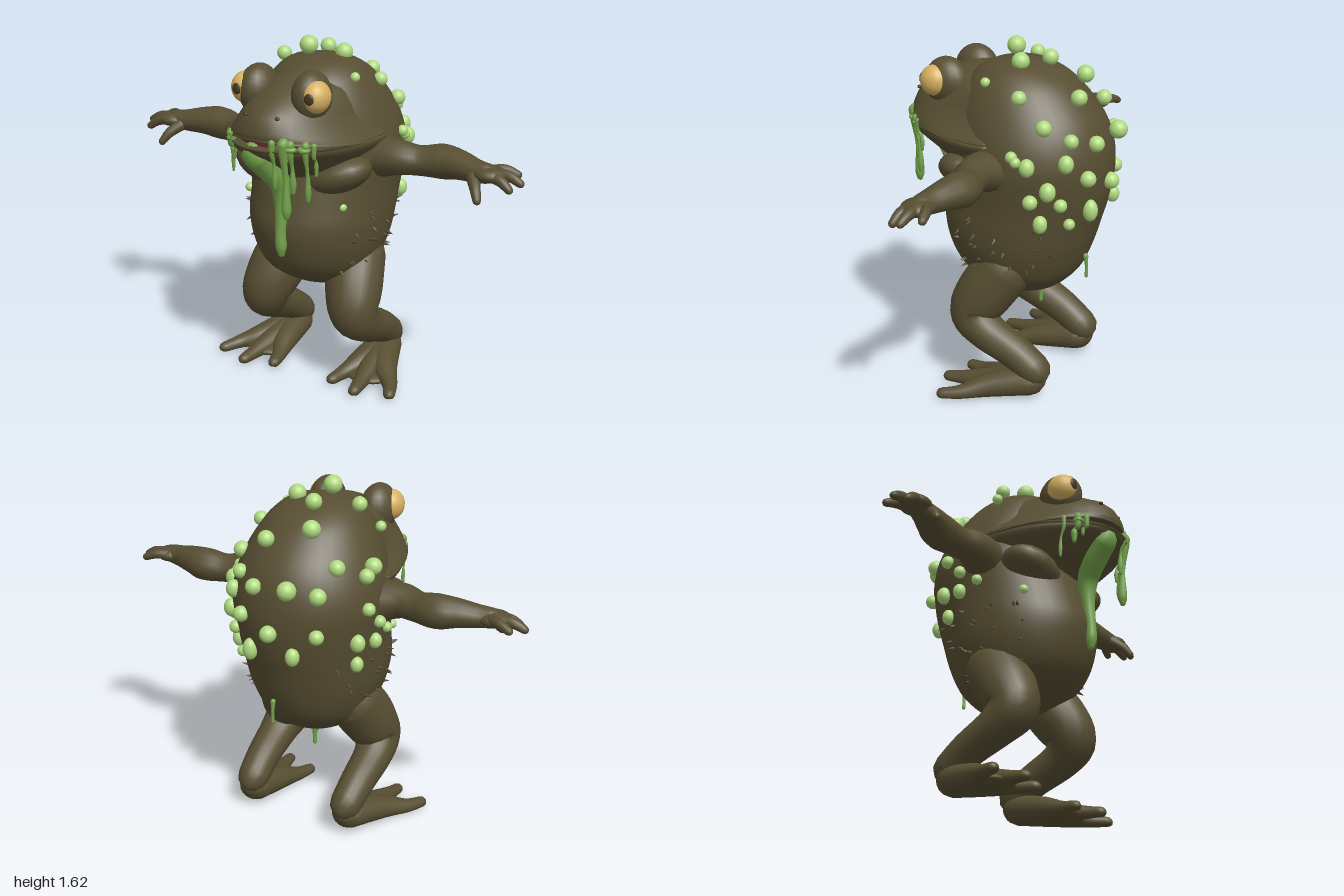
import * as THREE from 'three';

const paint = (name, color) => {
  const m = new THREE.MeshStandardMaterial({ color });
  m.name = name;
  return m;
};

// Smoothly subdivides rows of numbers (Catmull-Rom on every column)
function smoothRows(rows, steps) {
  const out = [];
  for (let i = 0; i < rows.length - 1; i++) {
    const p = [rows[Math.max(i - 1, 0)], rows[i], rows[i + 1], rows[Math.min(i + 2, rows.length - 1)]];
    for (let k = 0; k < steps; k++) {
      const t = k / steps;
      out.push(rows[i].map((_, j) => {
        const [a, b, c, d] = p.map((r) => r[j]);
        return b + 0.5 * t * (c - a + t * (2 * a - 5 * b + 4 * c - d + t * (3 * (b - c) + d - a)));
      }));
    }
  }
  out.push(rows[rows.length - 1]);
  return out;
}

// Skins a list of closed rings; nothing reaches below the ground
function skinRings(rings) {
  const n = rings[0].length, pos = [], idx = [];
  rings.forEach((ring) => ring.forEach((p) => pos.push(p.x, Math.max(p.y, 0), p.z)));
  for (let i = 0; i < rings.length - 1; i++) {
    for (let j = 0; j < n; j++) {
      const a = i * n + j, b = i * n + (j + 1) % n;
      idx.push(a, a + n, b, b, a + n, b + n);
    }
  }
  const g = new THREE.BufferGeometry();
  g.setAttribute('position', new THREE.Float32BufferAttribute(pos, 3));
  g.setIndex(idx);
  g.computeVertexNormals();
  return g;
}

// Horizontal rings from rows [y, half width, front z, back z, centre z]
function loft(rows, droop = 0, n = 40) {
  return skinRings(rows.map(([y, w, zf, zb, c]) => Array.from({ length: n }, (_, j) => {
    const a = j / n * Math.PI * 2, s = Math.sin(a), x = Math.cos(a);
    return new THREE.Vector3(w * x, y - droop * x * x, c + s * (s > 0 ? zf - c : c - zb));
  })));
}

// Round-ended limb through points [x, y, z, radius]
function limb(points, flat = 1, n = 14) {
  const rows = smoothRows(points, 5);
  const at = (r) => new THREE.Vector3(r[0], r[1], r[2]);
  const d = at(points[points.length - 1]).sub(at(points[0]));
  const upright = Math.abs(d.y) > Math.max(Math.abs(d.x), Math.abs(d.z));
  const ref = upright ? new THREE.Vector3(1, 0, 0) : new THREE.Vector3(0, 1, 0);
  const rings = [], last = rows.length - 1;
  const addRing = (i, cap) => {
    const T = at(rows[Math.min(i + 1, last)]).sub(at(rows[Math.max(i - 1, 0)])).normalize();
    const u = ref.clone().cross(T).normalize(), v = u.clone().cross(T);
    const r = Math.max(rows[i][3], 0.002), R = r * Math.cos(cap);
    const c = at(rows[i]).addScaledVector(T, r * Math.sin(cap));
    rings.push(Array.from({ length: n }, (_, j) => {
      const a = j / n * Math.PI * 2;
      return c.clone().addScaledVector(u, R * Math.cos(a)).addScaledVector(v, R * flat * Math.sin(a));
    }));
  };
  for (const cap of [-1.56, -1.1, -0.55]) addRing(0, cap);
  rows.forEach((_, i) => addRing(i, 0));
  for (const cap of [0.55, 1.1, 1.56]) addRing(last, cap);
  return skinRings(rings);
}

export function createModel() {
  const model = new THREE.Group();
  model.name = 'toadCreature';
  const skin = paint('swampSkin', 0x574e32), wartGreen = paint('wartGreen', 0xb0da80);
  const slime = paint('slimeGreen', 0x74a34b), amber = paint('eyeAmber', 0xd8b162);
  const dark = paint('pupilBrown', 0x46391f), red = paint('mouthRed', 0x6e2a33);

  const add = (name, geo, mat, parent = model) => {
    const m = new THREE.Mesh(geo, mat);
    m.name = name;
    parent.add(m);
    return m;
  };
  const ball = (name, mat, p, r, parent) => {
    const m = add(name, new THREE.SphereGeometry(1, 20, 14), mat, parent);
    m.position.set(...p);
    m.scale.set(...r);
    return m;
  };
  const group = (name) => {
    const g = new THREE.Group();
    g.name = name;
    model.add(g);
    return g;
  };

  // Pear-shaped body with a hunched back
  const bodyRows = smoothRows([
    [0.435, 0.001, -0.05, -0.06], [0.46, 0.14, 0.09, -0.19], [0.53, 0.235, 0.22, -0.28],
    [0.6, 0.28, 0.29, -0.33], [0.7, 0.315, 0.33, -0.37], [0.8, 0.33, 0.345, -0.4],
    [0.9, 0.335, 0.325, -0.43], [1.0, 0.345, 0.3, -0.45], [1.1, 0.355, 0.28, -0.455],
    [1.2, 0.342, 0.28, -0.44], [1.3, 0.308, 0.28, -0.4], [1.4, 0.258, 0.25, -0.32],
    [1.47, 0.205, 0.2, -0.24], [1.52, 0.13, 0.11, -0.13], [1.54, 0.001, 0.0, -0.01],
  ].map((r) => [...r, (r[2] + r[3]) / 2]), 4);
  add('body', loft(bodyRows), skin);

  // Head, mouth lining and lower jaw
  const headRows = (rows) => smoothRows(rows.map((r) => [...r, -0.1, 0]), 4);
  add('upperHead', loft(headRows([
    [1.262, 0.1, 0.2], [1.25, 0.325, 0.49], [1.262, 0.34, 0.52], [1.3, 0.308, 0.517],
    [1.36, 0.265, 0.485], [1.42, 0.238, 0.4], [1.48, 0.19, 0.27], [1.52, 0.001, 0.1],
  ]), 0.05), skin);
  add('mouthLining', loft(headRows([[1.2, 0.31, 0.483], [1.275, 0.31, 0.487]]), 0.04), red);
  add('lowerJaw', loft(headRows([
    [0.99, 0.001, 0.2], [1.03, 0.16, 0.29], [1.08, 0.25, 0.36], [1.14, 0.305, 0.44],
    [1.18, 0.333, 0.5], [1.206, 0.336, 0.52], [1.222, 0.32, 0.5], [1.216, 0.1, 0.2],
  ])), skin);

  for (const s of [1, -1]) {
    const side = s > 0 ? 'left' : 'right';
    // Bulging eyes and nostrils
    ball(side + 'EyeBulge', skin, [s * 0.135, 1.415, 0.29], [0.082, 0.115, 0.108]);
    ball(side + 'Eye', amber, [s * 0.18, 1.427, 0.325], [0.062, 0.071, 0.071]);
    ball(side + 'Pupil', dark, [s * 0.184, 1.43, 0.391], [0.023, 0.025, 0.009]).rotation.y = s * 0.1;
    ball(side + 'Nostril', dark, [s * 0.08, 1.352, 0.474], [0.011, 0.008, 0.01]);
    ball(side + 'ChestFold', skin, [s * 0.18, 1.035, 0.15], [0.17, 0.085, 0.135]).rotation.z = s * 0.35;

    // Arm, palm and fingers
    const arm = group(side + 'Arm');
    const part = (name, pts, flat) =>
      add(name, limb(pts.map(([x, ...r]) => [s * x, ...r]), flat), skin, arm);
    part('armLimb', [[0.25, 1.09, -0.03, 0.12], [0.4, 1.11, -0.01, 0.09], [0.5, 1.105, -0.03, 0.075],
      [0.6, 1.112, -0.05, 0.086], [0.68, 1.115, -0.035, 0.074], [0.77, 1.11, -0.01, 0.058], [0.83, 1.11, 0, 0.05]], 0.9);
    ball('palm', skin, [s * 0.845, 1.11, 0], [0.075, 0.036, 0.072], arm);
    part('backFinger', [[0.84, 1.115, -0.04, 0.024], [0.89, 1.118, -0.065, 0.023], [0.94, 1.1, -0.08, 0.018]]);
    part('middleFinger', [[0.85, 1.115, -0.01, 0.026], [0.93, 1.11, -0.01, 0.024], [0.982, 1.088, -0.005, 0.018]]);
    part('frontFinger', [[0.85, 1.11, 0.03, 0.024], [0.91, 1.1, 0.04, 0.024], [0.955, 1.07, 0.05, 0.018]]);
    part('thumb', [[0.78, 1.095, 0.03, 0.03], [0.815, 1.06, 0.08, 0.024], [0.838, 1.02, 0.11, 0.018]]);

    // Crouched leg with a three-toed webbed foot
    const leg = group(side + 'Leg');
    const legPart = (name, pts, flat) =>
      add(name, limb(pts.map(([x, ...r]) => [s * x, ...r]), flat, 18), skin, leg);
    legPart('legLimb', [[0.18, 0.6, -0.04, 0.135], [0.215, 0.47, 0.05, 0.135], [0.245, 0.36, 0.1, 0.115],
      [0.262, 0.285, 0.03, 0.092], [0.26, 0.21, -0.12, 0.08], [0.255, 0.14, -0.222, 0.075]]);
    [['innerToe', 0.165, 0.16], ['middleToe', 0.31, 0.205], ['outerToe', 0.465, 0.15]].forEach(([name, x, z]) =>
      legPart(name, [[0.257, 0.08, -0.195, 0.08], [0.26 + (x - 0.26) * 0.4, 0.05, -0.03, 0.062],
        [0.26 + (x - 0.26) * 0.8, 0.026, z - 0.08, 0.037], [x, 0.018, z, 0.028]], 0.9));
    ball('footWeb', skin, [s * 0.285, 0.022, 0.01], [0.12, 0.03, 0.11], leg);
  }

  // Body cross-section at a height
  const rowAt = (y) => bodyRows.reduce((a, b) => (Math.abs(b[0] - y) < Math.abs(a[0] - y) ? b : a));
  const fromSide = (s, z, y) => {
    const [, w, zf, zb, c] = rowAt(y), k = (z - c) / ((zf - zb) / 2);
    return [s * (w * Math.sqrt(Math.max(0, 1 - k * k)) + 0.01), y, z];
  };
  const fromBack = (x, y) => {
    const [, w, zf, zb, c] = rowAt(y);
    return [x, y, c - (zf - zb) / 2 * Math.sqrt(Math.max(0, 1 - (x / w) ** 2)) - 0.012];
  };

  // Round warts over the crown, flanks and back
  const warts = group('warts');
  const wart = (p, r = 0.033, tall = 1) => ball('wart', wartGreen, p, [r, r * tall, r], warts);
  [[-0.04, 1.575, 0.03, 0.042], [-0.04, 1.54, -0.14, 0.037], [0.09, 1.54, -0.06, 0.04], [-0.19, 1.515, 0, 0.034],
    [-0.11, 1.465, -0.28, 0.04], [0.08, 1.41, -0.34, 0.037], [-0.28, 1.42, 0.03, 0.024], [0.21, 1.46, 0.05, 0.022],
    [-0.09, 1.24, -0.455, 0.042], [0.235, 0.905, 0.195, 0.021], [-0.275, 0.905, 0.175, 0.021],
    [-0.345, 1.305, -0.16, 0.038], [-0.335, 1.27, -0.2, 0.034], [-0.25, 1.325, -0.31, 0.036],
  ].forEach(([x, y, z, r]) => wart([x, y, z], r));
  [[-0.13, 1.42], [-0.26, 1.31, 0.036], [-0.22, 1.15, 0.034, 1.2], [-0.15, 1.19, 0.026], [-0.36, 1.16, 0.034, 1.2],
    [-0.3, 1.04, 0.036, 1.2], [-0.23, 0.99], [-0.34, 0.97, 0.03], [-0.26, 0.88, 0.032, 1.3], [-0.17, 1.17, 0.024],
  ].forEach(([z, y, r, tall]) => wart(fromSide(1, z, y), r, tall));
  [[-0.12, 1.04, 0.028], [-0.2, 1.12, 0.03], [-0.24, 0.97, 0.034, 1.2], [-0.13, 0.95, 0.03, 1.2],
    [-0.03, 0.98, 0.024], [-0.22, 0.86, 0.03, 1.2],
  ].forEach(([z, y, r, tall]) => wart(fromSide(-1, z, y), r, tall));
  [[0.0, 1.03, 0.038], [-0.2, 1.21, 0.038], [0.09, 1.22, 0.036], [0.2, 1.25], [-0.2, 1.03], [0.16, 1.08, 0.036],
    [-0.1, 0.93, 0.032, 1.3], [0.12, 0.92, 0.034, 1.5], [0.2, 0.87, 0.026],
  ].forEach(([x, y, r, tall]) => wart(fromBack(x, y), r, tall));

  // Slime hanging from the lips, plus drips under the body
  const drool = group('slime');
  const lipZ = (x) => 0.513 * Math.sqrt(1 - (x / 0.345) ** 2);
  [[-0.2, 1.12, 0.014], [-0.17, 1.16, 0.01], [-0.24, 1.04, 0.008], [0.07, 1.05, 0.012], [0.115, 0.92, 0.02],
    [0.14, 1.03, 0.014], [0.19, 0.99, 0.013], [0.215, 1.1, 0.009],
  ].forEach(([x, y, r]) => {
    const z = lipZ(x), top = 1.255 - 0.4 * x * x;
    add('lipDrip', limb([[x, top, z, r * 1.4], [x, top - 0.05, z, r], [x, (top + y) / 2, z - 0.015, r * 0.6],
      [x, y + 0.04, z - 0.02, r * 1.1], [x, y, z - 0.02, r * 0.7]], 1, 10), slime, drool);
  });
  for (const [x, w] of [[-0.19, 0.03], [0.12, 0.05], [0.18, 0.03]])
    ball('lipSlime', slime, [x, 1.232 - 0.4 * x * x, lipZ(x) - 0.012], [w, 0.017, 0.028], drool);
  add('chinSlime', limb([[-0.04, 1.175, 0.46, 0.062], [-0.02, 1.1, 0.395, 0.058], [0.005, 1.02, 0.345, 0.048],
    [0.01, 0.92, 0.34, 0.033], [0.01, 0.8, 0.352, 0.024], [0.012, 0.73, 0.352, 0.026], [0.012, 0.69, 0.35, 0.016]]), slime, drool);
  add('bellyDrip', limb([[-0.03, 0.45, -0.1, 0.028], [-0.025, 0.41, -0.11, 0.012], [-0.025, 0.35, -0.11, 0.009]]), slime, drool);
  add('backDrip', limb([[0.04, 0.66, -0.37, 0.012], [0.04, 0.61, -0.375, 0.007], [0.04, 0.56, -0.375, 0.008]]), slime, drool);

  // Ragged skin barbs on the flanks
  let seed = 7;
  const rnd = () => (seed = (seed * 16807) % 2147483647) / 2147483647;
  const barbs = group('skinBarbs');
  for (let i = 0; i < 50; i++) {
    const s = i % 2 ? 1 : -1, y = 0.55 + rnd() * 0.32, a = (rnd() - 0.55) * 1.5;
    const [, w, zf, zb, c] = rowAt(y);
    const b = add('barb', new THREE.ConeGeometry(0.015, 0.055, 6), skin, barbs);
    b.position.set(s * w * Math.cos(a), y, c + (zf - zb) / 2 * Math.sin(a));
    b.quaternion.setFromUnitVectors(new THREE.Vector3(0, 1, 0),
      new THREE.Vector3(s * Math.cos(a), -0.6 + rnd() * 0.9, Math.sin(a)).normalize());
  }
  return model;
}
